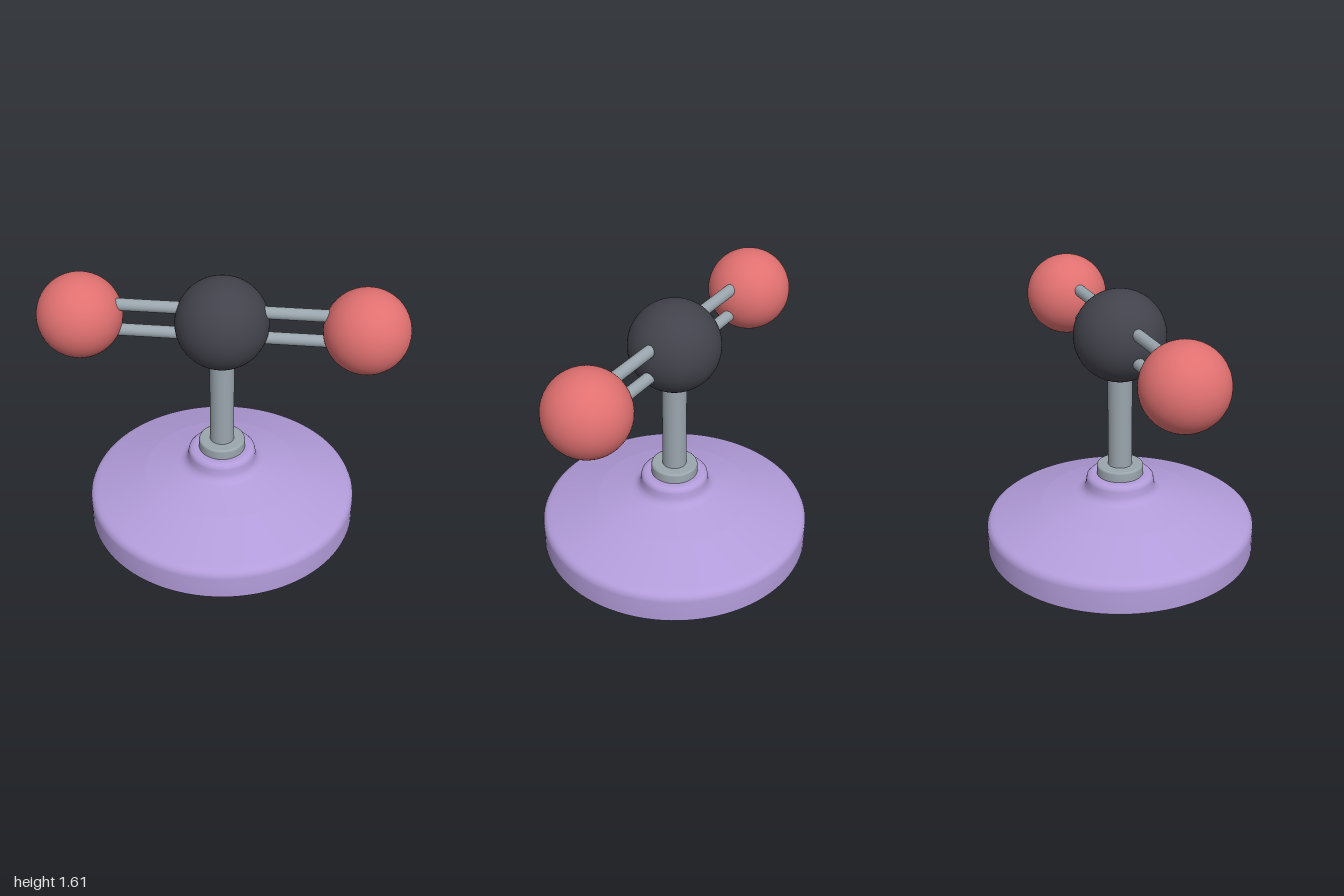
import * as THREE from 'three';

const material = (name, color) => {
  const m = new THREE.MeshStandardMaterial({ color });
  m.name = name;
  return m;
};

export function createModel() {
  const lilac = material('lilac', 0xb39ddb);
  const red = material('coral red', 0xe07070);
  const charcoal = material('charcoal', 0x42424c);
  const grey = material('steel grey', 0x9aa5ad);

  const model = new THREE.Group();
  model.name = 'moleculeStand';
  const add = (parent, name, geometry, mat, x = 0, y = 0, z = 0) => {
    const mesh = new THREE.Mesh(geometry, mat);
    mesh.name = name;
    mesh.position.set(x, y, z);
    parent.add(mesh);
    return mesh;
  };
  const lathe = (points) =>
    new THREE.LatheGeometry(points.map(([r, y]) => new THREE.Vector2(r, y)), 96);

  // Domed base with rounded rim and a short neck
  add(model, 'base', lathe([
    [0, 0], [0.785, 0], [0.79, 0.001], [0.797, 0.006], [0.8, 0.015],
    [0.8, 0.145], [0.797, 0.165], [0.787, 0.183], [0.773, 0.193], [0.75, 0.203],
    [0.465, 0.302], [0.455, 0.305], [0.255, 0.357], [0.23, 0.367], [0.212, 0.383],
    [0.202, 0.408], [0.2, 0.44], [0.196, 0.457], [0.185, 0.469], [0.168, 0.474],
    [0.16, 0.474], [0, 0.474],
  ]), lilac);

  // Collar and post
  add(model, 'collar', lathe([
    [0, 0.47], [0.137, 0.47], [0.1371, 0.471], [0.1371, 0.522], [0.134, 0.531],
    [0.126, 0.535], [0.124, 0.535], [0, 0.535],
  ]), grey);
  add(model, 'post', new THREE.CylinderGeometry(0.071, 0.071, 0.72, 48), grey, 0, 0.86, 0);

  // Molecule: a centre ball with two outer balls, turned about the post
  const molecule = new THREE.Group();
  molecule.name = 'molecule';
  molecule.position.y = 1.34;
  molecule.rotation.y = THREE.MathUtils.degToRad(20);
  model.add(molecule);
  add(molecule, 'centreBall', new THREE.SphereGeometry(0.265, 64, 48), charcoal);

  const ball = new THREE.SphereGeometry(0.243, 64, 48);
  const rod = new THREE.CylinderGeometry(0.035, 0.035, 0.6, 32).rotateZ(Math.PI / 2);
  for (const [side, s] of [['left', 1], ['right', -1]]) {
    add(molecule, side + 'Ball', ball, red, s * 0.803, 0, 0);
    // Paired rods, one above the other
    add(molecule, side + 'UpperRod', rod, grey, s * 0.42, 0.082, 0);
    add(molecule, side + 'LowerRod', rod, grey, s * 0.42, -0.082, 0);
  }
  return model;
}
